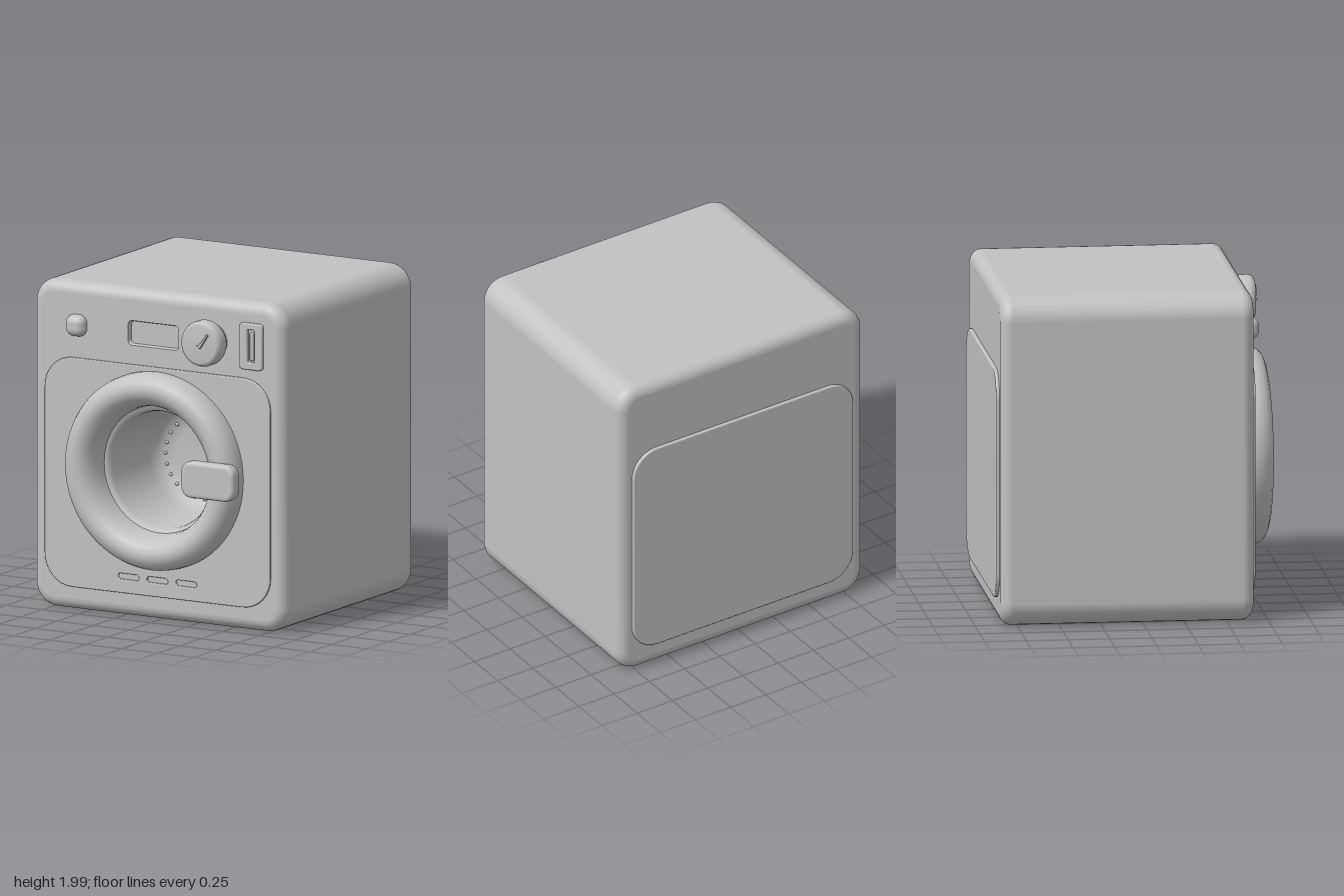
import * as THREE from 'three';
import { toCreasedNormals } from 'three/addons/utils/BufferGeometryUtils.js';
import { RoundedBoxGeometry } from 'three/addons/geometries/RoundedBoxGeometry.js';

const grey = new THREE.MeshStandardMaterial({ color: 0xc2c2c2 });
grey.name = 'applianceGrey';

// Rounded rectangle outline as points, counter-clockwise seen from +z
function roundRect(x0, x1, y0, y1, r, steps = 8) {
  const pts = [];
  const corners = [[x1 - r, y0 + r, -0.5], [x1 - r, y1 - r, 0], [x0 + r, y1 - r, 0.5], [x0 + r, y0 + r, 1]];
  for (const [cx, cy, a] of corners) {
    for (let i = 0; i <= steps; i++) {
      const t = (a + 0.5 * i / steps) * Math.PI;
      pts.push(new THREE.Vector2(cx + r * Math.cos(t), cy + r * Math.sin(t)));
    }
  }
  return pts;
}

function circle(x, y, r, n = 64) {
  return Array.from({ length: n }, (_, i) => {
    const t = i / n * Math.PI * 2;
    return new THREE.Vector2(x + r * Math.cos(t), y + r * Math.sin(t));
  });
}

function holedShape(outline, holes = []) {
  const shape = new THREE.Shape(outline);
  for (const h of holes) shape.holes.push(new THREE.Path(h));
  return shape;
}

// Skin between rings of equal length, given as { z, pts }
function loft(sections) {
  const n = sections[0].pts.length, pos = [], idx = [];
  for (const s of sections) for (const p of s.pts) pos.push(p.x, p.y, s.z);
  for (let k = 0; k < sections.length - 1; k++) {
    for (let i = 0; i < n; i++) {
      const a = k * n + i, b = k * n + (i + 1) % n;
      idx.push(a, b, b + n, a, b + n, a + n);
    }
  }
  const g = new THREE.BufferGeometry();
  g.setAttribute('position', new THREE.Float32BufferAttribute(pos, 3));
  g.setIndex(idx);
  g.computeVertexNormals();
  return g;
}

// Bevelled plate between two z values
function plate(outline, holes, z0, z1, bevel) {
  const g = new THREE.ExtrudeGeometry(holedShape(outline, holes), {
    depth: z1 - z0 - 2 * bevel, bevelThickness: bevel, bevelSize: bevel,
    bevelOffset: -bevel, bevelSegments: 3
  });
  g.translate(0, 0, z0 + bevel);
  return toCreasedNormals(g, 0.23);
}

// Turned part whose axis points to +z; profile is [radius, z] from back to front
function turned(profile, x, y, segments = 64) {
  const g = new THREE.LatheGeometry(profile.map(p => new THREE.Vector2(p[0], p[1])), segments);
  g.rotateX(Math.PI / 2);
  g.translate(x, y, 0);
  return g;
}

export function createModel() {
  const model = new THREE.Group();
  model.name = 'washingMachine';
  const add = (name, geometry, parent = model) => {
    const m = new THREE.Mesh(geometry, grey);
    m.name = name;
    parent.add(m);
    return m;
  };

  // Cabinet: rounded shell, closed at the back, with door and display openings in front
  const front = 0.66, back = -0.855, edge = 0.07, steps = 8;
  const ring = d => roundRect(-0.872 + d, 0.872 - d, d + 0.008, 1.998 - d, 0.145 - d);
  const backHalf = [], frontHalf = [];
  for (let i = 0; i <= steps; i++) {
    const t = i / steps * Math.PI / 2;
    const rise = edge * (1 - Math.cos(t)), pts = ring(edge * (1 - Math.sin(t)));
    backHalf.push({ z: back + rise, pts });
    frontHalf.unshift({ z: front - rise, pts });
  }
  add('cabinetShell', loft([...backHalf, ...frontHalf]));
  const display = d => roundRect(-0.21 + d, 0.14 - d, 1.655 + d, 1.805 - d, 0.025);
  add('cabinetFront', new THREE.ShapeGeometry(
    holedShape(ring(edge), [circle(0, 0.915, 0.42), display(0)])).translate(0, 0, front));
  const backFace = new THREE.ShapeGeometry(holedShape(ring(edge)));
  backFace.rotateY(Math.PI).translate(0, 0, back);
  add('cabinetBack', backFace);

  // Sunken display window
  add('displayRecess', loft([{ z: front, pts: display(0) }, { z: 0.635, pts: display(0.008) }]));
  add('displayScreen', new THREE.ShapeGeometry(holedShape(display(0.008))).translate(0, 0, 0.635));

  // Raised front panel with three vent slots, and matching back panel
  const panel = roundRect(-0.78, 0.78, 0.15, 1.54, 0.19);
  const slots = [-0.2, 0, 0.2].map(x => roundRect(x - 0.072, x + 0.072, 0.232, 0.268, 0.016));
  add('frontPanel', plate(panel, [circle(0, 0.915, 0.5), ...slots], front - 0.006, 0.676, 0.006));
  add('backPanel', plate(roundRect(-0.78, 0.78, 0.155, 1.54, 0.17), [], -0.875, back + 0.01, 0.008));

  // Door ring
  add('doorRing', turned([
    [0.597, 0.64], [0.599, 0.7], [0.594, 0.74], [0.578, 0.775], [0.55, 0.802], [0.515, 0.815],
    [0.48, 0.813], [0.445, 0.795], [0.418, 0.765], [0.4, 0.725], [0.39, 0.68], [0.386, 0.64]
  ], 0, 0.918));

  // Drum bowl and its ring of small holes
  const drum = new THREE.Group();
  drum.name = 'drum';
  model.add(drum);
  add('drumBowl', turned([
    [0.4, 0.65], [0.38, 0.638], [0.362, 0.63], [0.354, 0.6], [0.342, 0.4], [0.328, 0.22],
    [0.308, 0.16], [0.27, 0.125], [0.2, 0.105], [0, 0.1]
  ].reverse().map(([r, z]) => [r, z]).reverse(), 0, 0.91), drum);
  for (let i = 0; i < 24; i++) {
    const t = i / 24 * Math.PI * 2;
    const dot = add('drumHole', new THREE.SphereGeometry(0.012, 8, 6), drum);
    dot.position.set(0.272 * Math.sin(t), 0.9 + 0.255 * Math.cos(t), 0.123);
  }

  // Door handle
  add('doorHandle', plate(roundRect(0.28, 0.645, 0.82, 1.04, 0.065), [], 0.79, 0.876, 0.022));

  // Small push button
  add('pushButton', new RoundedBoxGeometry(0.13, 0.13, 0.12, 6, 0.048)).position.set(-0.56, 1.738, 0.658);

  // Programme dial with raised pointer
  add('dialKnob', turned([
    [0.11, 0.64], [0.112, 0.69], [0.128, 0.695], [0.138, 0.715], [0.138, 0.765], [0.13, 0.787],
    [0.112, 0.799], [0, 0.801]
  ], 0.365, 1.74, 48));
  const pointer = [[0.355, 1.735], [0.378, 1.718], [0.432, 1.802], [0.424, 1.808], [0.375, 1.745]]
    .map(p => new THREE.Vector2(p[0], p[1]));
  add('dialPointer', plate(pointer, [], 0.79, 0.818, 0.003));

  // Slide switch: plate with a slot and a slim slider
  add('switchPlate', plate(roundRect(0.572, 0.73, 1.595, 1.878, 0.025),
    [roundRect(0.626, 0.676, 1.64, 1.838, 0.008)], front - 0.006, 0.684, 0.008));
  add('switchSlider', new RoundedBoxGeometry(0.026, 0.17, 0.03, 3, 0.008)).position.set(0.653, 1.735, 0.664);

  return model;
}
